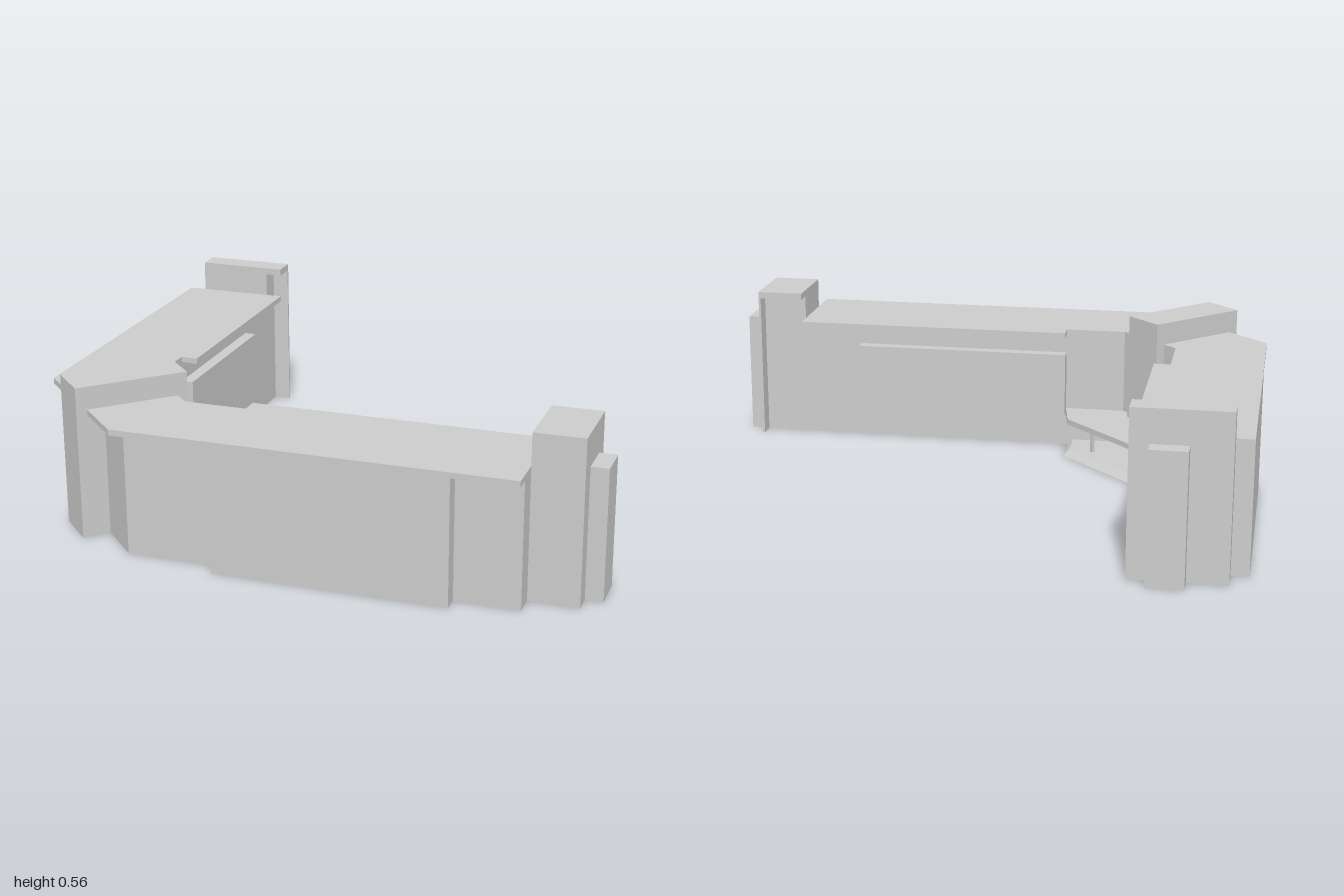
import * as THREE from 'three';

const material = new THREE.MeshStandardMaterial({ color: 0xcccccc, flatShading: true, side: THREE.DoubleSide });

// Upright prism over a plan outline of [x, z] points; open leaves the underside off
function prism(name, plan, y0, y1, open = false) {
  const shape = new THREE.Shape(plan.map(([x, z]) => new THREE.Vector2(x, -z)));
  const geo = new THREE.ExtrudeGeometry(shape, { depth: y1 - y0, bevelEnabled: false });
  geo.rotateX(-Math.PI / 2).translate(0, y0, 0);
  if (open) {
    const p = geo.attributes.position;
    const kept = [];
    for (let i = 0; i < p.count; i += 3) {
      const corners = [i, i + 1, i + 2];
      if (corners.some((k) => p.getY(k) > y0 + 1e-4)) {
        corners.forEach((k) => kept.push(p.getX(k), p.getY(k), p.getZ(k)));
      }
    }
    geo.deleteAttribute('uv');
    geo.setAttribute('position', new THREE.Float32BufferAttribute(kept, 3));
    geo.clearGroups();
    geo.computeVertexNormals();
  }
  const mesh = new THREE.Mesh(geo, material);
  mesh.name = name;
  return mesh;
}

const rect = (x0, x1, z0, z1) => [[x0, z0], [x1, z0], [x1, z1], [x0, z1]];

// Rectangle turned 45 degrees: u runs along x + z, v along x - z
const diagonalRect = (u0, u1, v0, v1) =>
  [[u0, v0], [u1, v0], [u1, v1], [u0, v1]].map(([u, v]) => [(u + v) / 2, (u - v) / 2]);

export function createModel() {
  const model = new THREE.Group();
  const add = (...args) => {
    const mesh = prism(...args);
    model.add(mesh);
    return mesh;
  };

  // L-shaped wall, stepped out along the middle of each outer side
  add('wall', [
    [-1, -0.72], [-0.675, -0.72], [-0.675, 0.33], [-0.47, 0.535], [0.77, 0.535], [0.77, 0.805],
    [0.55, 0.805], [0.55, 0.86], [-0.25, 0.86], [-0.25, 0.805], [-0.57, 0.805],
    [-0.94, 0.43], [-0.94, 0.11], [-1, 0.11],
  ], 0, 0.435, true);

  // Thin overhanging top
  add('countertop', [
    [-1, -0.72], [-0.615, -0.72], [-0.615, 0.105], [-0.675, 0.105], [-0.675, 0.33], [-0.47, 0.535],
    [-0.25, 0.535], [-0.25, 0.475], [0.77, 0.475], [0.77, 0.86], [-0.595, 0.86], [-1, 0.46],
  ], 0.435, 0.455);

  // Raised panels on the inner sides
  add('sideInnerPanel', rect(-0.675, -0.633, -0.49, 0.11), 0.125, 0.365);
  add('frontInnerPanel', rect(-0.25, 0.55, 0.493, 0.535), 0.125, 0.365);

  // Corner pillar: outer and inner pilasters joined over the top
  add('cornerOuterPilaster', diagonalRect(-0.255, -0.03, -1.51, -1.37), 0, 0.435, true);
  add('cornerInnerPilaster', diagonalRect(-0.255, -0.03, -1.005, -0.955), 0, 0.435, true);
  add('cornerPillarTop', diagonalRect(-0.255, -0.03, -1.51, -0.955), 0.435, 0.535);

  // End pillars: block, thin end plate, overhanging cap and small outer pilaster
  const ends = [
    ['side', rect(-0.94, -0.675, -0.805, -0.72), rect(-0.675, -0.615, -0.805, -0.797),
      rect(-0.94, -0.615, -0.805, -0.72), rect(-0.805, -0.68, -0.865, -0.805)],
    ['front', rect(0.77, 0.94, 0.535, 0.73), rect(0.932, 0.94, 0.475, 0.535),
      rect(0.77, 0.94, 0.475, 0.73), rect(0.94, 1, 0.54, 0.665)],
  ];
  for (const [name, block, plate, cap, pilaster] of ends) {
    add(name + 'EndPillar', block, 0, 0.54, true);
    add(name + 'EndPlate', plate, 0, 0.54, true);
    add(name + 'EndCap', cap, 0.54, 0.565);
    add(name + 'EndPilaster', pilaster, 0, 0.45, true);
  }

  // Corner shelf on two slim posts
  const shelf = [[-0.675, 0.105], [-0.53, 0.13], [-0.275, 0.39], [-0.25, 0.535], [-0.47, 0.535], [-0.675, 0.33]];
  add('cornerShelf', shelf, 0.125, 0.145);
  for (const [x, z] of [[-0.535, 0.23], [-0.37, 0.395]]) {
    const u = x + z, v = x - z;
    add('shelfPost', diagonalRect(u - 0.008, u + 0.008, v - 0.008, v + 0.008), 0.02, 0.125);
  }

  // Floor plate under the shelf, its top edge sloping back towards the corner
  const plate = add('floorPlate', [
    [-0.675, 0.12], [-0.53, 0.12], [-0.26, 0.39], [-0.26, 0.535], [-0.47, 0.535], [-0.675, 0.33],
  ], 0, 0.02);
  const p = plate.geometry.attributes.position;
  for (let i = 0; i < p.count; i++) {
    if (p.getY(i) > 0.01) p.setXYZ(i, p.getX(i) - 0.02, p.getY(i), p.getZ(i) + 0.02);
  }
  plate.geometry.computeVertexNormals();

  return model;
}
